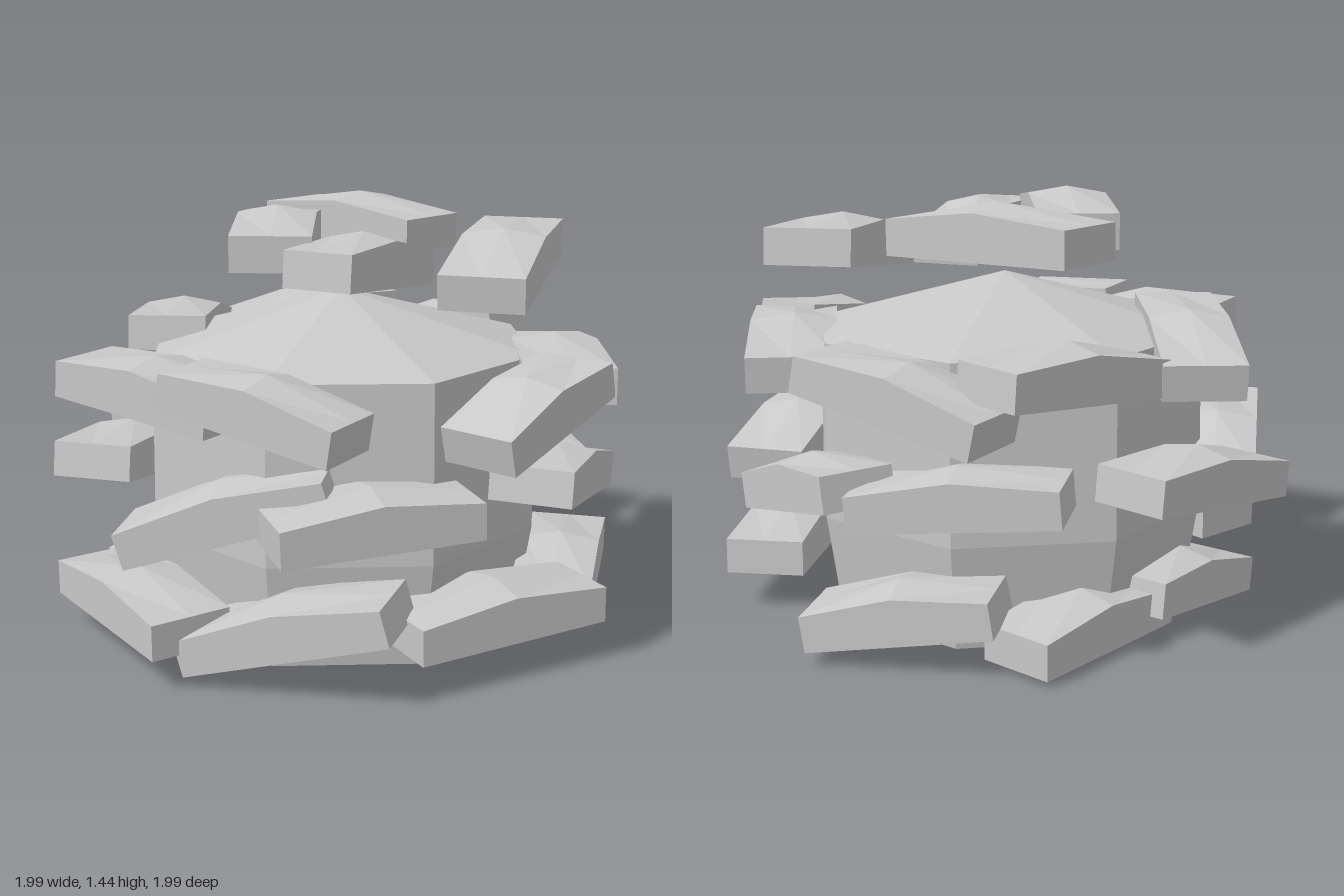
import * as THREE from 'three';

const stone = new THREE.MeshStandardMaterial({ color: 0xc8c8c8 });
stone.name = 'stone';

// Rough slab: flat underside, top ridged across the middle
function slabGeometry(length, width, thick) {
  const geo = new THREE.BoxGeometry(length, thick, width, 2, 1, 2);
  const p = geo.attributes.position;
  for (let i = 0; i < p.count; i++) {
    if (p.getY(i) > 0 && Math.abs(p.getX(i)) < 1e-4) {
      p.setY(i, p.getY(i) + (Math.abs(p.getZ(i)) < 1e-4 ? 0.06 : 0.035));
    }
  }
  const flat = geo.toNonIndexed();
  flat.computeVertexNormals();
  return flat;
}

// Each slab: centre x, y, z, length, width, heading and rise in degrees
const layers = {
  lowerSlab: [
    [-0.18, 0.19, 0.73, 0.71, 0.28, -21, 16],
    [0.47, 0.19, 0.62, 0.7, 0.27, 26, 1],
    [0.77, 0.18, 0.16, 0.66, 0.27, 74, 2],
    [0.41, 0.15, -0.64, 0.62, 0.27, -21, -9],
    [-0.16, 0.08, -0.63, 0.65, 0.26, 40, 0],
    [-0.56, 0.1, -0.33, 0.6, 0.26, 44, 7],
    [-0.69, 0.17, 0.42, 0.7, 0.28, -58, 0],
  ],
  middleSlab: [
    [-0.38, 0.53, 0.6, 0.7, 0.27, -11, 17],
    [0.06, 0.55, 0.76, 0.66, 0.27, 16, 2],
    [0.72, 0.54, 0.25, 0.64, 0.28, 66, -9],
    [0.68, 0.5, -0.36, 0.57, 0.26, 117, 12],
    [0.24, 0.53, -0.69, 0.68, 0.26, -20, -5],
    [-0.53, 0.545, -0.62, 0.66, 0.27, 37, 6],
    [-0.75, 0.535, -0.11, 0.72, 0.28, 72, -10],
  ],
  upperSlab: [
    [-0.57, 0.94, -0.34, 0.73, 0.27, -96, 9],
    [-0.62, 0.89, 0.42, 0.62, 0.27, -36, -5],
    [-0.27, 0.895, 0.71, 0.63, 0.25, -33, -9],
    [0.57, 0.86, 0.61, 0.58, 0.26, 47, 14],
    [0.735, 0.885, 0.09, 0.78, 0.3, 88, -3],
    [0.41, 0.86, -0.67, 0.66, 0.28, -38, 12],
    [-0.09, 0.915, -0.71, 0.65, 0.27, 32, 4],
  ],
  topSlab: [
    [-0.22, 1.32, 0.01, 0.68, 0.27, -94, 0],
    [0.56, 1.24, 0.03, 0.78, 0.29, 71, 7],
    [0.055, 1.265, 0.28, 0.62, 0.24, 60, -6],
    [0.085, 1.315, -0.44, 0.7, 0.28, -45, -1],
  ],
};

// Eight-sided core, slightly bulging, closed by a low pointed roof
function coreGeometry() {
  const profile = [[0, 0], [0.645, 0], [0.7, 0.36], [0.695, 0.7], [0.69, 0.96], [0, 1.15]]
    .map(([r, y]) => new THREE.Vector2(r, y));
  const geo = new THREE.LatheGeometry(profile, 8, Math.PI / 8).toNonIndexed();
  geo.computeVertexNormals();
  return geo;
}

export function createModel() {
  const model = new THREE.Group();
  model.name = 'stonePile';

  const core = new THREE.Mesh(coreGeometry(), stone);
  core.name = 'core';
  model.add(core);

  for (const [name, slabs] of Object.entries(layers)) {
    slabs.forEach(([x, y, z, length, width, heading, rise], i) => {
      const slab = new THREE.Mesh(slabGeometry(length, width, 0.12), stone);
      slab.name = name + (i + 1);
      slab.position.set(x, y, z);
      slab.rotation.set(0, THREE.MathUtils.degToRad(heading), THREE.MathUtils.degToRad(rise), 'YXZ');
      model.add(slab);
    });
  }
  return model;
}
